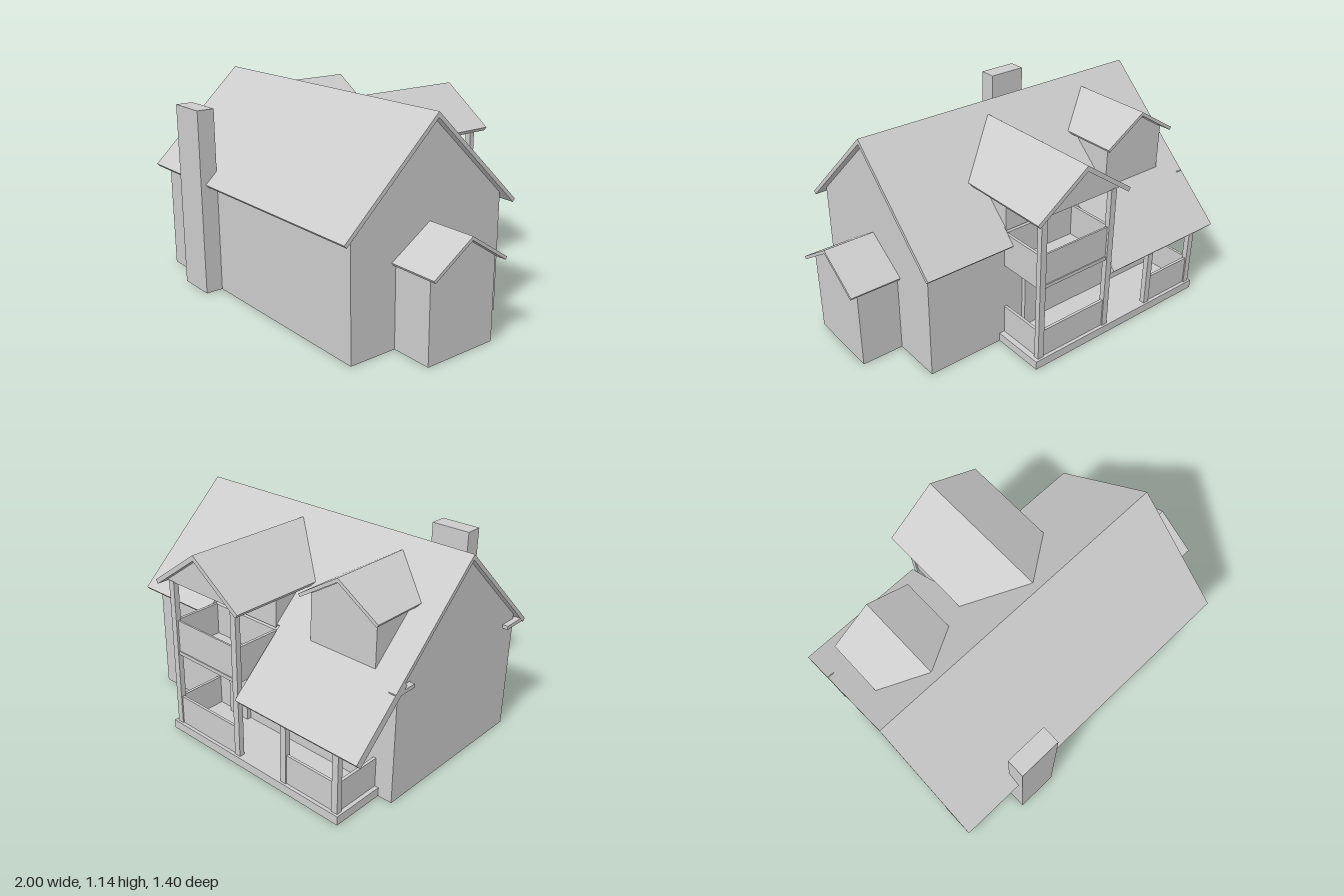
import * as THREE from 'three';

const material = new THREE.MeshStandardMaterial({ color: 0xcccccc, flatShading: true, side: THREE.DoubleSide });

export function createModel() {
  const house = new THREE.Group();
  house.name = 'house';

  const add = (name, geometry) => {
    const mesh = new THREE.Mesh(geometry, material);
    mesh.name = name;
    house.add(mesh);
    return mesh;
  };

  // Box given by its limits on each axis
  const box = (name, x0, x1, y0, y1, z0, z1) => {
    const g = new THREE.BoxGeometry(x1 - x0, y1 - y0, z1 - z0);
    g.translate((x0 + x1) / 2, (y0 + y1) / 2, (z0 + z1) / 2);
    return add(name, g);
  };

  // Outline of [across, y] points extruded along x or z between two limits
  const prism = (name, points, axis, from, to) => {
    const sign = axis === 'x' ? -1 : 1;
    const shape = new THREE.Shape(points.map(([u, y]) => new THREE.Vector2(sign * u, y)));
    const g = new THREE.ExtrudeGeometry(shape, { depth: to - from, bevelEnabled: false });
    if (axis === 'x') g.rotateY(Math.PI / 2).translate(from, 0, 0);
    else g.translate(0, 0, from);
    return add(name, g);
  };

  // Drops the faces lying on the ground, leaving a hollow shell
  const openBottom = (mesh) => {
    const g = mesh.geometry.index ? mesh.geometry.toNonIndexed() : mesh.geometry;
    const p = g.attributes.position.array, kept = [];
    for (let i = 0; i < p.length; i += 9) {
      if (Math.max(p[i + 1], p[i + 4], p[i + 7]) > 1e-4) kept.push(...p.slice(i, i + 9));
    }
    mesh.geometry = new THREE.BufferGeometry();
    mesh.geometry.setAttribute('position', new THREE.Float32BufferAttribute(kept, 3));
    mesh.geometry.computeVertexNormals();
  };

  // Pitched roof slab: ridge at (c, top), reaching a to the low side and b to the high side
  const roof = (name, axis, from, to, c, top, slope, a, b, t) => {
    const k = Math.hypot(1, slope), nx = t * slope / k, ny = t / k;
    return prism(name, [
      [c - a, top - a * slope], [c, top], [c + b, top - b * slope],
      [c + b - nx, top - b * slope - ny], [c, top - t * k], [c - a + nx, top - a * slope - ny],
    ], axis, from, to);
  };

  // Hollow walls ending in a gable under a roof of the given pitch
  const gableWalls = (name, from, to, c, top, slope, a, b) =>
    openBottom(prism(name, [
      [c - a, 0], [c + b, 0], [c + b, top - b * slope], [c, top], [c - a, top - a * slope],
    ], 'x', from, to));

  // Main house with its chimney
  const pitch = 0.937, ridgeZ = 0.115, ridgeY = 1.142;
  const roofY = (z) => ridgeY - Math.abs(z - ridgeZ) * pitch;
  gableWalls('mainWalls', -0.97, 0.72, ridgeZ, 1.115, pitch, 0.49, 0.485);
  openBottom(box('chimney', -0.66, -0.43, 0, 1.03, 0.6, 0.698));

  // Main roof: long over the porch, cut short at the balcony, normal overhang at the other end
  for (const [x0, x1, back] of [[-1, -0.225, 0.8], [-0.225, 0.25, 0.485], [0.25, 0.762, 0.56]]) {
    roof('mainRoof', 'x', x0, x1, ridgeZ, ridgeY, pitch, back, 0.555, 0.021);
  }

  // Thicker lower part of the roof over the porch
  prism('porchRoof', [
    [-0.375, roofY(-0.375)], [-0.685, roofY(-0.685)],
    [-0.656, roofY(-0.685) - 0.031], [-0.346, roofY(-0.375) - 0.031],
  ], 'x', -1, -0.225);

  // Short eave returns on the right gable
  for (const [z0, z1] of [[0.5, 0.64], [-0.43, -0.29]]) box('eaveReturn', -1, -0.96, 0.615, 0.635, z0, z1);

  // Side annex
  gableWalls('annexWalls', 0.72, 0.952, ridgeZ, 0.59, 0.65, 0.21, 0.215);
  roof('annexRoof', 'x', 0.72, 1, ridgeZ, 0.607, 0.65, 0.24, 0.24, 0.017);

  // Dormer: cheeks following the main roof, then the gable and its roof
  prism('dormerWalls', [[-0.375, 0.67], [-0.375, 0.935], [-0.105, 0.93]], 'x', -0.84, -0.44);
  prism('dormerGable', [[-0.84, 0.934], [-0.44, 0.934], [-0.64, 1.06]], 'z', -0.375, -0.11);
  roof('dormerRoof', 'z', -0.42, 0.05, -0.64, 1.085, 0.63, 0.24, 0.24, 0.018);

  // Tower room, roof and the gable over the balcony
  const towerX = 0.02, half = 0.24;
  prism('towerRoom', [[-0.375, 0.67], [-0.375, 0.875], [-0.165, 0.875]], 'x', towerX - 0.225, towerX + 0.225);
  prism('towerGable', [[towerX - 0.265, 0.875], [towerX + 0.265, 0.875], [towerX, 1.065]], 'z', -0.66, -0.17);
  roof('towerRoof', 'z', -0.7, 0.055, towerX, 1.09, 0.71, 0.3, 0.3, 0.024);

  // Porch deck and posts
  const front = -0.662, inner = -0.632;
  box('porchDeck', -0.89, 0.285, 0, 0.048, -0.674, -0.375);
  for (const [x, top] of [[towerX + 0.225, 0.88], [towerX - 0.225, 0.88], [-0.53, 0.4], [-0.86, 0.4]]) {
    box('post', x - 0.018, x + 0.018, 0.04, top, front, inner);
  }

  // Balcony floor and parapets
  box('balconyFloor', towerX - half + 0.01, towerX + half - 0.01, 0.465, 0.485, -0.655, -0.375);
  box('balconyFrontRail', towerX - half + 0.02, towerX + half - 0.02, 0.485, 0.66, -0.65, -0.64);
  for (const s of [-1, 1]) {
    const x = towerX + s * 0.225;
    box('balconySideRail', x - 0.008, x + 0.008, 0.465, 0.66, -0.645, -0.375);
  }

  // Porch parapets, leaving an entrance between two posts
  for (const [x0, x1] of [[towerX - 0.225, towerX + 0.225], [-0.86, -0.53]]) {
    box('porchFrontRail', x0, x1, 0.048, 0.21, -0.655, -0.64);
  }
  for (const x of [towerX + 0.225, -0.86]) {
    box('porchSideRail', x - 0.008, x + 0.008, 0.048, 0.21, -0.645, -0.375);
  }

  // Door under the balcony
  box('door', 0, 0.135, 0.048, 0.41, -0.4, -0.375);

  return house;
}
